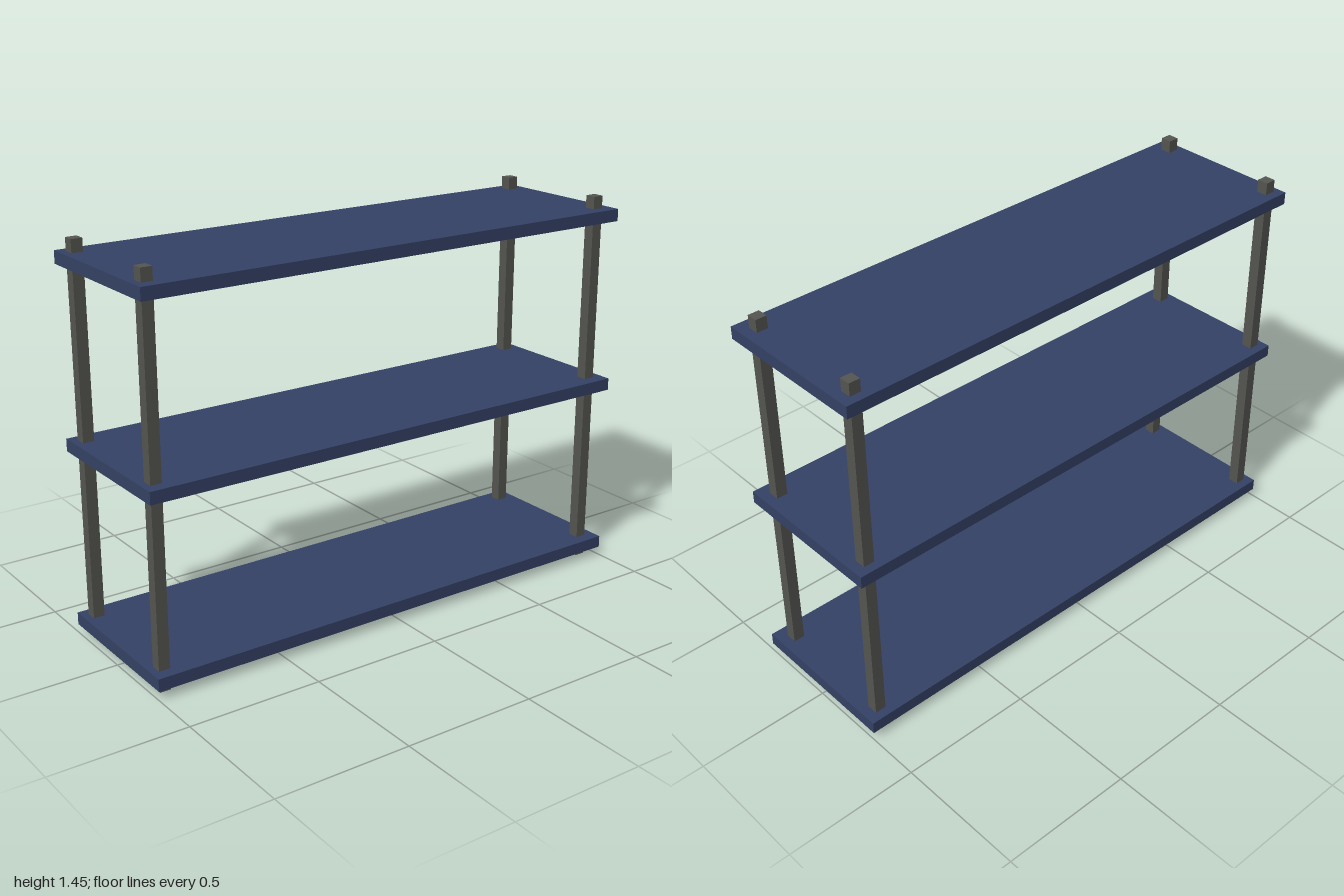
import * as THREE from 'three';

export function createModel() {
  const shelfBlue = new THREE.MeshStandardMaterial({ color: 0x354266 });
  shelfBlue.name = 'shelfBlue';
  const postGrey = new THREE.MeshStandardMaterial({ color: 0x555551 });
  postGrey.name = 'postGrey';

  const model = new THREE.Group();
  model.name = 'shelvingUnit';

  function addBox(name, size, position, material) {
    const mesh = new THREE.Mesh(new THREE.BoxGeometry(...size), material);
    mesh.name = name;
    mesh.position.set(...position);
    model.add(mesh);
  }

  // Three equal boards
  const shelves = { bottomShelf: 0.056, middleShelf: 0.72, topShelf: 1.383 };
  for (const [name, y] of Object.entries(shelves)) {
    addBox(name, [2, 0.046, 0.6], [0, y, 0], shelfBlue);
  }

  // Square posts running through all boards, set slightly off centre
  const height = 1.453;
  for (const [side, x] of [['Right', -0.952], ['Left', 0.94]]) {
    for (const [end, z] of [['front', 0.233], ['back', -0.245]]) {
      addBox(`${end}${side}Post`, [0.042, height, 0.042], [x, height / 2, z], postGrey);
    }
  }

  return model;
}
